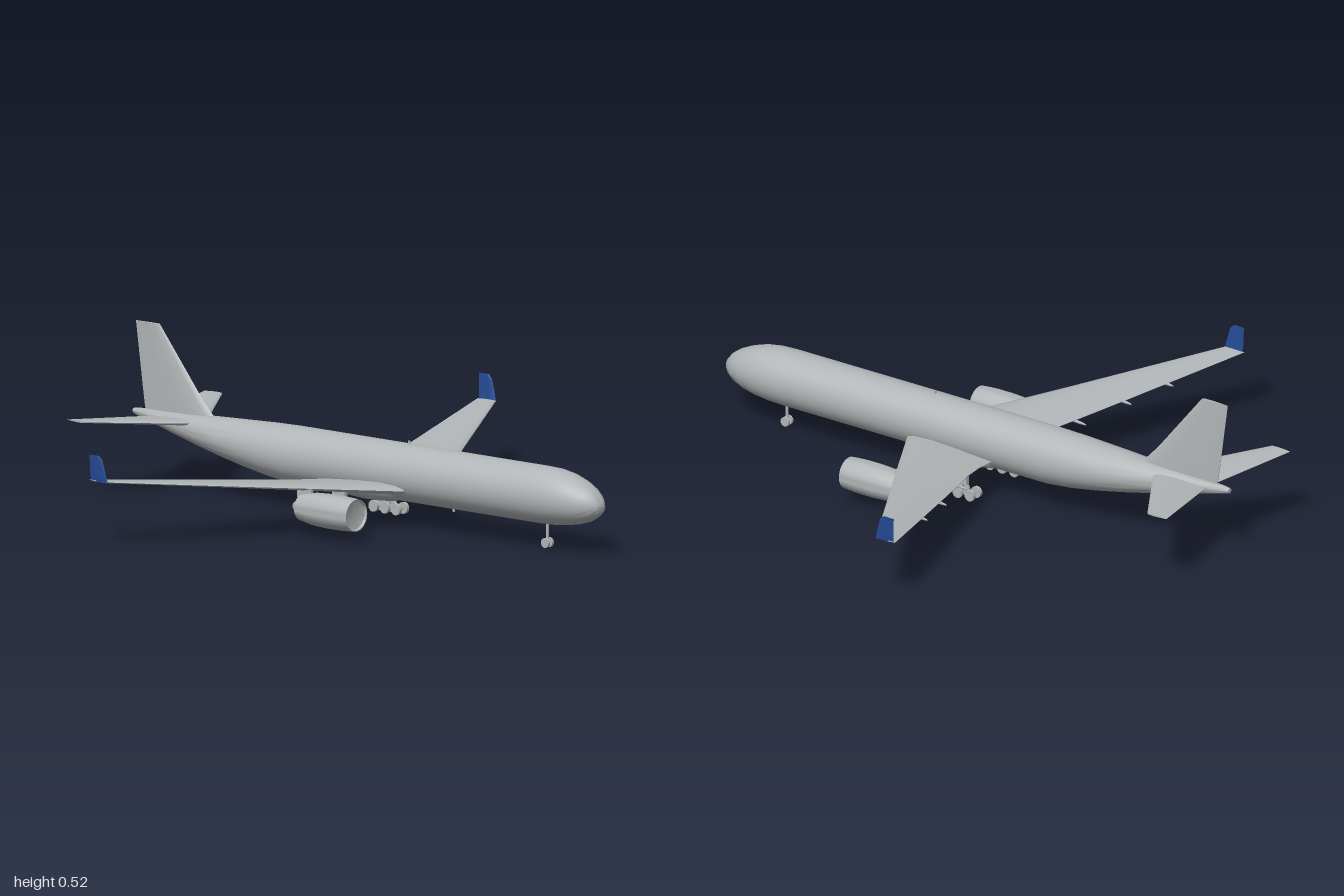
import * as THREE from 'three';
import { toCreasedNormals } from 'three/addons/utils/BufferGeometryUtils.js';

// Closed skin through rings of points, with flat end caps, always facing outward
function loft(rings, crease = 0.7) {
  const n = rings[0].length, tris = [];
  for (let i = 0; i < rings.length - 1; i++) {
    for (let j = 0; j < n; j++) {
      const k = (j + 1) % n, a = rings[i], b = rings[i + 1];
      tris.push([a[j], a[k], b[k]], [a[j], b[k], b[j]]);
    }
  }
  const first = rings[0], last = rings[rings.length - 1];
  for (let j = 1; j < n - 1; j++) {
    tris.push([first[0], first[j + 1], first[j]], [last[0], last[j], last[j + 1]]);
  }
  const c = first[0];
  let volume = 0;
  for (const t of tris) {
    const [p, q, r] = t.map((v) => v.clone().sub(c));
    volume += p.dot(q.cross(r));
  }
  if (volume < 0) tris.forEach((t) => t.reverse());
  const g = new THREE.BufferGeometry().setFromPoints(tris.flat());
  return toCreasedNormals(g, crease);
}

// Aerofoil outline: fraction of chord from the nose, fraction of thickness
const FOIL = [[0, 0], [0.02, 0.2], [0.1, 0.4], [0.3, 0.5], [0.6, 0.36], [1, 0.04],
  [1, -0.04], [0.6, -0.36], [0.3, -0.5], [0.1, -0.4], [0.02, -0.2]];

// Section [x, y, leading z, trailing z, thickness]; upright ones are thick along x
function foilRing([x, y, le, te, t], side = 1, upright = false) {
  return FOIL.map(([c, h]) => new THREE.Vector3(
    side * (x + (upright ? h * t : 0)), y + (upright ? 0 : h * t), le + (te - le) * c));
}

export function createModel() {
  const model = new THREE.Group();
  model.name = 'airliner';
  const grey = new THREE.MeshStandardMaterial({ color: 0xb2b5b7 });
  grey.name = 'grey paint';
  const blue = new THREE.MeshStandardMaterial({ color: 0x244a94 });
  blue.name = 'blue paint';

  const add = (name, geometry, x = 0, y = 0, z = 0, parent = model, material = grey) => {
    const m = new THREE.Mesh(geometry, material);
    m.name = name;
    m.position.set(x, y, z);
    parent.add(m);
    return m;
  };

  // Fuselage stations: z, bottom y, top y, half width
  const stations = [
    [1, 0.153, 0.163, 0.005], [0.993, 0.137, 0.181, 0.022], [0.975, 0.121, 0.202, 0.04],
    [0.95, 0.107, 0.22, 0.056], [0.91, 0.094, 0.239, 0.072], [0.86, 0.085, 0.255, 0.084],
    [0.81, 0.08, 0.263, 0.09], [0.75, 0.078, 0.265, 0.092], [-0.3, 0.078, 0.265, 0.092],
    [-0.4, 0.088, 0.263, 0.089], [-0.5, 0.105, 0.259, 0.082], [-0.6, 0.125, 0.255, 0.072],
    [-0.7, 0.147, 0.251, 0.057], [-0.8, 0.17, 0.248, 0.038], [-0.9, 0.195, 0.244, 0.022],
    [-0.98, 0.215, 0.241, 0.013], [-1, 0.221, 0.238, 0.009]];
  add('fuselage', loft(stations.map(([z, lo, hi, w]) => Array.from({ length: 40 }, (_, i) => {
    const a = (i / 40) * Math.PI * 2;
    return new THREE.Vector3(Math.cos(a) * w, (lo + hi) / 2 + Math.sin(a) * (hi - lo) / 2, z);
  }))));

  // Wing box fairing under the belly
  add('bellyFairing', new THREE.SphereGeometry(1, 32, 20), 0, 0.118, 0.03).scale.set(0.088, 0.05, 0.2);

  // Tail fin
  add('tailFin', loft([
    [0, 0.23, -0.64, -0.945, 0.028], [0, 0.252, -0.66, -0.953, 0.027],
    [0, 0.31, -0.715, -0.962, 0.023], [0, 0.525, -0.89, -0.992, 0.01],
  ].map((s) => foilRing(s, 1, true))));

  // Antennas on the spine and the belly
  add('spineAntenna', new THREE.BoxGeometry(0.004, 0.016, 0.008), 0, 0.268, 0.175);
  add('bellyAntenna', new THREE.BoxGeometry(0.004, 0.016, 0.008), 0, 0.075, 0.365);

  // Engine profile: radius, distance along the axis
  const nacelle = [[0, 0.252], [0.047, 0.252], [0.049, 0.259], [0.052, 0.26], [0.054, 0.24],
    [0.056, 0.2], [0.056, 0.14], [0.053, 0.085], [0.043, 0.03], [0.034, 0.03],
    [0.012, -0.004], [0, -0.004]].map((p) => new THREE.Vector2(...p)).reverse();
  const engineShape = toCreasedNormals(
    new THREE.LatheGeometry(nacelle, 36).rotateX(Math.PI / 2), 0.5);

  // Two wheels on one axle
  const wheelPair = (parent, x, y, z, r, gap, width) => {
    for (const s of [-1, 1]) {
      add('wheel', new THREE.CylinderGeometry(r, r, width, 20).rotateZ(Math.PI / 2), x + s * gap, y, z, parent);
    }
    add('axle', new THREE.CylinderGeometry(0.004, 0.004, gap * 2, 8).rotateZ(Math.PI / 2), x, y, z, parent);
  };

  for (const side of [1, -1]) {
    const half = new THREE.Group();
    half.name = side > 0 ? 'leftSide' : 'rightSide';
    model.add(half);

    // Main wing
    add('wing', loft([
      [0, 0.118, 0.27, -0.11, 0.04], [0.09, 0.128, 0.222, -0.111, 0.036],
      [0.16, 0.135, 0.18, -0.117, 0.032], [0.24, 0.143, 0.133, -0.136, 0.026],
      [0.32, 0.151, 0.086, -0.163, 0.021], [0.5, 0.169, -0.021, -0.221, 0.015],
      [0.945, 0.215, -0.285, -0.362, 0.007],
    ].map((s) => foilRing(s, side))), 0, 0, 0, half);

    // Upturned blue wing tip
    add('winglet', loft([
      [0.943, 0.212, -0.283, -0.355, 0.006], [0.946, 0.24, -0.291, -0.357, 0.006],
      [0.947, 0.285, -0.304, -0.358, 0.005], [0.948, 0.298, -0.318, -0.359, 0.004],
    ].map((s) => foilRing(s, side, true))), 0, 0, 0, half, blue);

    // Tailplane
    add('tailplane', loft([
      [0, 0.222, -0.695, -0.915, 0.022], [0.05, 0.226, -0.73, -0.925, 0.02],
      [0.335, 0.247, -0.918, -0.994, 0.007],
    ].map((s) => foilRing(s, side))), 0, 0, 0, half);

    // Flap track fairings
    for (const [x, y, z, len] of [[0.32, 0.141, -0.135, 0.12], [0.5, 0.161, -0.193, 0.1], [0.665, 0.178, -0.245, 0.085]]) {
      const pod = add('flapTrackFairing', new THREE.SphereGeometry(0.5, 10, 10), side * x, y, z, half);
      pod.scale.set(0.008, 0.012, len);
      pod.rotation.x = -0.08;
    }

    // Engine and pylon
    add('engine', engineShape, side * 0.353, 0.091, 0, half);
    add('pylon', new THREE.BoxGeometry(0.012, 0.03, 0.06), side * 0.353, 0.137, 0.04, half);

    // Main landing gear with three axles
    const gear = new THREE.Group();
    gear.name = 'mainGear';
    half.add(gear);
    const gx = side * 0.12;
    add('gearStrut', new THREE.CylinderGeometry(0.008, 0.008, 0.11, 12), gx, 0.075, -0.018, gear);
    add('gearDoor', new THREE.BoxGeometry(0.014, 0.085, 0.054), gx, 0.087, -0.017, gear);
    add('bogieBeam', new THREE.BoxGeometry(0.01, 0.012, 0.1), gx, 0.021, -0.018, gear);
    for (const z of [0.03, -0.018, -0.066]) wheelPair(gear, gx, 0.019, z, 0.019, 0.018, 0.011);
  }

  // Nose landing gear
  const noseGear = new THREE.Group();
  noseGear.name = 'noseGear';
  model.add(noseGear);
  add('noseStrut', new THREE.CylinderGeometry(0.005, 0.005, 0.08, 12), 0, 0.055, 0.765, noseGear);
  wheelPair(noseGear, 0, 0.016, 0.765, 0.016, 0.009, 0.009);

  return model;
}
